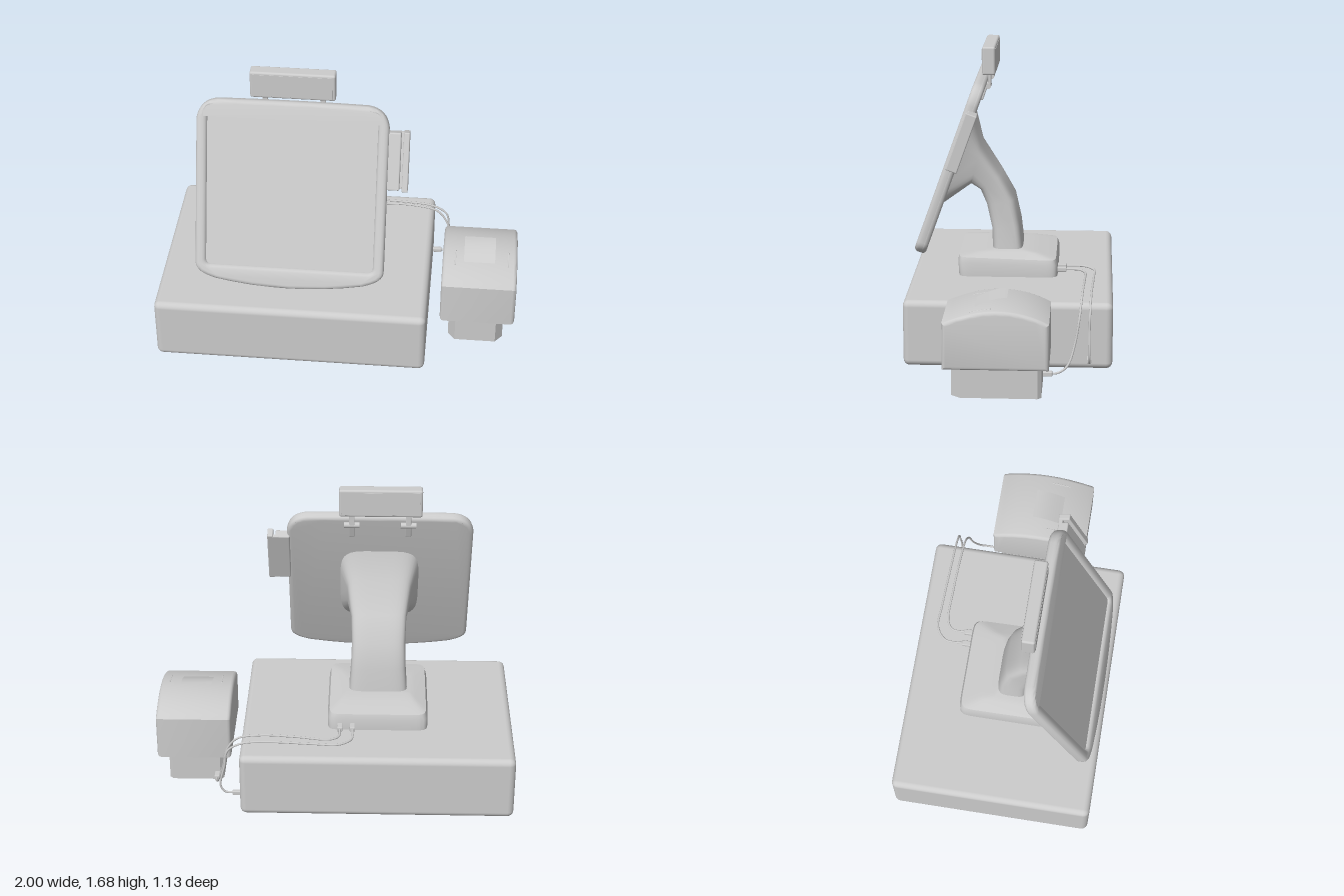
import * as THREE from 'three';
import { RoundedBoxGeometry } from 'three/addons/geometries/RoundedBoxGeometry.js';
import { toCreasedNormals } from 'three/addons/utils/BufferGeometryUtils.js';

const grey = new THREE.MeshStandardMaterial({ color: 0xcccccc });
const sheet = new THREE.MeshStandardMaterial({ color: 0xcccccc, side: THREE.DoubleSide });
const CX = -0.245; // centre line of the terminal

function add(parent, name, geometry, material = grey) {
  const mesh = new THREE.Mesh(geometry, material);
  mesh.name = name;
  parent.add(mesh);
  return mesh;
}

// Rounded box from its limits on each axis
function box(parent, name, [x0, x1], [y0, y1], [z0, z1], r = 0.005) {
  const g = new RoundedBoxGeometry(x1 - x0, y1 - y0, z1 - z0, 3, r);
  g.translate((x0 + x1) / 2, (y0 + y1) / 2, (z0 + z1) / 2);
  return add(parent, name, g);
}

// Capped loft through squarish rings: [front z, front y, back z, back y, half width]
function loft(sections, power, n = 32) {
  const pos = [], index = [];
  const bend = (v) => Math.sign(v) * Math.pow(Math.abs(v), power);
  sections.forEach(([fz, fy, bz, by, w]) => {
    for (let j = 0; j < n; j++) {
      const a = ((j + 0.5) / n) * Math.PI * 2, c = bend(Math.cos(a)), s = bend(Math.sin(a));
      pos.push(CX + s * w, (fy + by) / 2 + (c * (fy - by)) / 2, (fz + bz) / 2 + (c * (fz - bz)) / 2);
    }
  });
  const last = sections.length - 1;
  for (let i = 0; i < last; i++) {
    for (let j = 0; j < n; j++) {
      const a = i * n + j, b = i * n + ((j + 1) % n);
      index.push(a, b, a + n, b, b + n, a + n);
    }
  }
  [0, last].forEach((i) => {
    const [fz, fy, bz, by] = sections[i], centre = pos.length / 3;
    pos.push(CX, (fy + by) / 2, (fz + bz) / 2);
    for (let j = 0; j < n; j++) {
      const a = i * n + j, b = i * n + ((j + 1) % n);
      index.push(centre, ...(i ? [a, b] : [b, a]));
    }
  });
  const g = new THREE.BufferGeometry();
  g.setAttribute('position', new THREE.Float32BufferAttribute(pos, 3));
  g.setIndex(index);
  return toCreasedNormals(g, 0.6);
}

// Bevelled extrusion that keeps the outline's size; z runs from z0 to z1
function extrude(shape, z0, z1, bevel) {
  const g = new THREE.ExtrudeGeometry(shape, {
    depth: z1 - z0 - 2 * bevel, bevelEnabled: bevel > 0, bevelSize: bevel, bevelThickness: bevel,
    bevelOffset: -bevel, bevelSegments: 3, curveSegments: 8,
  });
  g.translate(0, 0, z0 + bevel);
  return toCreasedNormals(g, 0.6);
}

// Screen outline: rounded corners and a bowed lower edge
function screenOutline() {
  const s = new THREE.Shape();
  s.moveTo(-0.515, -0.4);
  s.quadraticCurveTo(-0.515, -0.46, -0.4, -0.488);
  s.quadraticCurveTo(0, -0.562, 0.4, -0.488);
  s.quadraticCurveTo(0.515, -0.46, 0.515, -0.4);
  s.lineTo(0.515, 0.41);
  s.quadraticCurveTo(0.5, 0.51, 0.4, 0.522);
  s.quadraticCurveTo(0, 0.53, -0.4, 0.522);
  s.quadraticCurveTo(-0.5, 0.51, -0.515, 0.41);
  s.closePath();
  return s;
}

function roundedRect(x0, x1, y0, y1, r) {
  const p = new THREE.Path();
  p.moveTo(x0 + r, y0);
  p.lineTo(x1 - r, y0).quadraticCurveTo(x1, y0, x1, y0 + r);
  p.lineTo(x1, y1 - r).quadraticCurveTo(x1, y1, x1 - r, y1);
  p.lineTo(x0 + r, y1).quadraticCurveTo(x0, y1, x0, y1 - r);
  p.lineTo(x0, y0 + r).quadraticCurveTo(x0, y0, x0 + r, y0);
  return p;
}

function cable(parent, name, points) {
  const curve = new THREE.CatmullRomCurve3(points.map((p) => new THREE.Vector3(...p)), false, 'centripetal');
  add(parent, name, new THREE.TubeGeometry(curve, 90, 0.006, 8));
}

export function createModel() {
  const model = new THREE.Group();
  model.name = 'cashRegister';

  // Cash drawer and stand
  box(model, 'cashDrawer', [-1, 0.51], [0.01, 0.38], [-0.57, 0.565], 0.035);
  add(model, 'standBase', loft([
    [0.3, 0.375, -0.26, 0.375, 0.28], [0.305, 0.46, -0.26, 0.445, 0.28],
    [0.3, 0.49, -0.25, 0.475, 0.27], [0.2, 0.505, -0.15, 0.5, 0.21], [0.13, 0.51, -0.08, 0.51, 0.18],
  ], 0.16, 48));
  add(model, 'standColumn', loft([
    [0.115, 0.49, -0.06, 0.49, 0.165], [0.12, 0.62, -0.043, 0.64, 0.155],
    [0.15, 0.76, -0.01, 0.79, 0.15], [0.185, 0.845, 0.07, 0.93, 0.155],
    [0.235, 0.88, 0.18, 1.1, 0.18], [0.41, 0.755, 0.22, 1.27, 0.225],
  ], 0.42));

  // Tilted touch screen
  const screen = new THREE.Group();
  screen.name = 'screen';
  screen.position.set(CX, 1.015, 0.34);
  screen.rotation.x = -0.345;
  model.add(screen);
  const bezel = screenOutline();
  bezel.holes.push(roundedRect(-0.455, 0.455, -0.406, 0.477, 0.03));
  add(screen, 'bezel', extrude(bezel, -0.0325, 0.0325, 0.022));
  add(screen, 'backCover', extrude(screenOutline(), -0.034, 0.01, 0.02));
  box(screen, 'displayPanel', [-0.462, 0.462], [-0.413, 0.484], [0, 0.014], 0.001);

  // Card reader: a slotted profile running along the screen's edge
  const reader = new THREE.Group();
  reader.name = 'cardReader';
  screen.add(reader);
  box(reader, 'readerBody', [0.5, 0.58], [0.065, 0.385], [-0.045, 0.012], 0.008);
  box(reader, 'readerSlotFloor', [0.56, 0.615], [0.065, 0.385], [-0.045, -0.022], 0.005);
  box(reader, 'readerPlate', [0.593, 0.625], [0.06, 0.39], [-0.045, 0.018], 0.006);

  // Customer display on two brackets
  const pole = new THREE.Group();
  pole.name = 'customerDisplay';
  model.add(pole);
  box(pole, 'displayCase', [-0.475, -0.02], [1.52, 1.678], [0.092, 0.164], 0.012);
  [0.0905, 0.1655].forEach((z) => box(pole, 'displayWindow', [-0.46, -0.035], [1.533, 1.665], [z - 0.001, z + 0.001], 0.0005));
  [-0.4, -0.09].forEach((x) => {
    box(pole, 'bracketPost', [x - 0.015, x + 0.015], [1.455, 1.53], [0.118, 0.134], 0.005);
    const hinge = add(pole, 'bracketHinge', new THREE.CylinderGeometry(0.016, 0.016, 0.085, 16));
    hinge.rotation.z = Math.PI / 2;
    hinge.position.set(x, 1.455, 0.133);
    const foot = add(pole, 'bracketFoot', new RoundedBoxGeometry(0.035, 0.09, 0.02, 2, 0.005));
    foot.position.set(x, 1.415, 0.159);
    foot.rotation.x = -0.345;
  });

  // Receipt printer: curved side profile swept across x
  const printer = new THREE.Group();
  printer.name = 'receiptPrinter';
  model.add(printer);
  const side = new THREE.Shape();
  side.moveTo(-0.24, 0.17);
  side.lineTo(0.31, 0.17);
  side.lineTo(0.31, 0.42);
  side.quadraticCurveTo(0.16, 0.487, 0.03, 0.488);
  side.quadraticCurveTo(-0.12, 0.487, -0.24, 0.42);
  side.closePath();
  const shell = extrude(side, -1, -0.58, 0.02);
  shell.rotateY(-Math.PI / 2);
  add(printer, 'printerShell', shell);
  const foot = new THREE.Shape([
    [0.63, -0.18], [0.65, -0.2], [0.92, -0.2], [0.94, -0.18],
    [0.94, 0.22], [0.9, 0.27], [0.67, 0.27], [0.63, 0.22],
  ].map(([x, z]) => new THREE.Vector2(x, -z)).reverse());
  const footGeometry = extrude(foot, 0, 0.18, 0);
  footGeometry.rotateX(-Math.PI / 2);
  add(printer, 'printerFoot', footGeometry);
  [0.652, 0.948].forEach((x) => {
    const rail = box(printer, 'slotRail', [-0.004, 0.004], [-0.004, 0.004], [-0.055, 0.055], 0.002);
    rail.position.set(x, 0.477, 0.115);
    rail.rotation.x = 0.16;
  });

  // Paper curling out of the slot
  const paper = new THREE.PlaneGeometry(0.175, 0.18, 1, 10);
  const p = paper.attributes.position;
  for (let i = 0; i < p.count; i++) {
    const t = p.getY(i) / 0.18 + 0.5;
    p.setXYZ(i, 0.787 + p.getX(i), 0.468 + 0.057 * Math.sin((t * Math.PI) / 2), 0.16 - 0.18 * t);
  }
  paper.computeVertexNormals();
  add(printer, 'paper', paper, sheet);

  // Cables with their plugs
  const cables = new THREE.Group();
  cables.name = 'cables';
  model.add(cables);
  cable(cables, 'drawerCable', [
    [-0.105, 0.41, -0.3], [-0.1, 0.41, -0.41], [-0.03, 0.41, -0.465], [0.1, 0.412, -0.465], [0.35, 0.415, -0.455],
    [0.5, 0.4, -0.45], [0.58, 0.35, -0.447], [0.6, 0.25, -0.445], [0.625, 0.12, -0.445], [0.6, 0.08, -0.445], [0.55, 0.075, -0.445],
  ]);
  cable(cables, 'printerCable', [
    [-0.035, 0.41, -0.3], [-0.03, 0.41, -0.38], [0.02, 0.41, -0.413], [0.2, 0.425, -0.415], [0.4, 0.428, -0.407],
    [0.53, 0.4, -0.4], [0.59, 0.32, -0.39], [0.615, 0.2, -0.37], [0.65, 0.08, -0.33], [0.665, 0.045, -0.28], [0.665, 0.04, -0.24],
  ]);
  [-0.105, -0.035].forEach((x) => box(cables, 'standPlug', [x - 0.015, x + 0.015], [0.397, 0.423], [-0.31, -0.25]));
  box(cables, 'drawerPlug', [0.5, 0.56], [0.062, 0.088], [-0.458, -0.432]);
  box(cables, 'printerPlug', [0.65, 0.68], [0.027, 0.053], [-0.25, -0.19]);
  return model;
}
